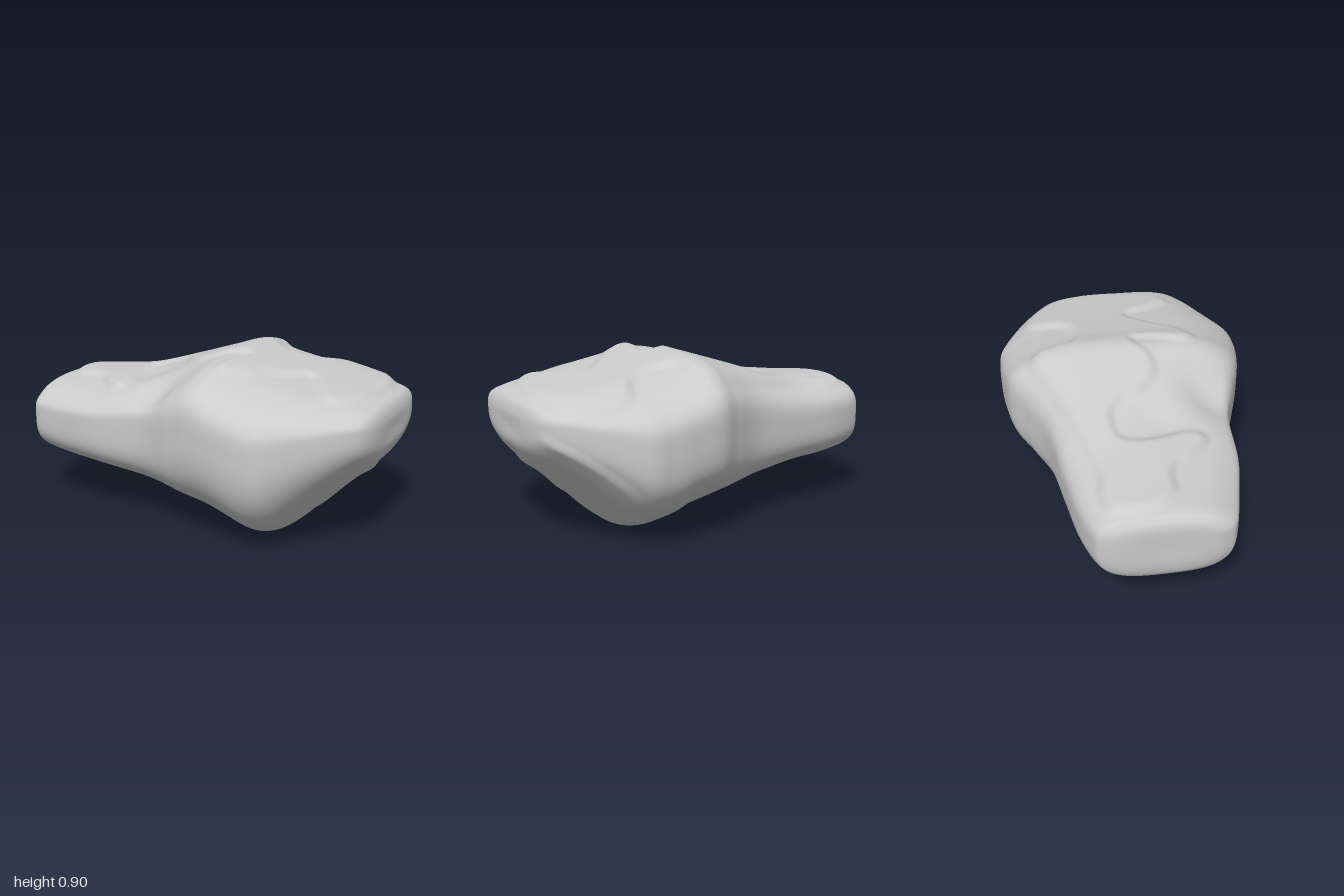
import * as THREE from 'three';

// Sections along x: [x, top, bottom, front z, back z]
const sections = [
  [-1.0, 0.47, 0.47, 0.03, 0.03],
  [-1.0, 0.59, 0.36, 0.22, -0.17],
  [-0.98, 0.65, 0.28, 0.32, -0.28],
  [-0.93, 0.675, 0.25, 0.37, -0.33],
  [-0.75, 0.69, 0.23, 0.42, -0.385],
  [-0.5, 0.72, 0.215, 0.475, -0.425],
  [-0.2, 0.805, 0.17, 0.49, -0.475],
  [0.0, 0.865, 0.12, 0.56, -0.565],
  [0.14, 0.9, 0.08, 0.61, -0.645],
  [0.3, 0.865, 0.025, 0.65, -0.67],
  [0.45, 0.835, 0.0, 0.67, -0.68],
  [0.57, 0.815, 0.06, 0.655, -0.67],
  [0.75, 0.785, 0.24, 0.55, -0.57],
  [0.9, 0.76, 0.38, 0.45, -0.45],
  [0.97, 0.73, 0.45, 0.37, -0.36],
  [1.0, 0.66, 0.51, 0.24, -0.22],
  [1.0, 0.585, 0.585, 0.0, 0.0],
];

// Raised plate seen from above (x, z)
const topPlate = [
  [-0.9, -0.18], [-0.8, -0.25], [-0.6, -0.25], [-0.2, -0.37], [0.15, -0.5], [0.22, -0.29], [0.46, -0.28],
  [0.64, -0.5], [0.85, -0.35], [0.91, 0.0], [0.8, 0.29], [0.69, 0.18], [0.58, 0.03],
  [0.42, 0.15], [0.3, 0.3], [0.18, 0.32], [0.23, 0.08], [0.17, 0.01], [0.0, 0.1],
  [-0.15, 0.02], [-0.2, -0.1], [-0.32, -0.17], [-0.48, -0.08], [-0.44, 0.26], [-0.55, 0.22], [-0.66, 0.09], [-0.86, 0.04],
];
// Plates on the left end (z, y)
const endPlate = [
  [-0.1, 0.68], [-0.35, 0.58], [-0.53, 0.42], [-0.55, 0.25], [-0.42, 0.2],
  [-0.2, 0.3], [0.02, 0.34], [0.06, 0.4], [-0.05, 0.48],
];
const endKnob = [
  [0.1, 0.66], [0.2, 0.55], [0.22, 0.4], [0.22, 0.2], [0.1, 0.18], [0.02, 0.27], [0.08, 0.42], [0.08, 0.55],
];
// Plate on the underside (x, z)
const underPlate = [
  [-0.75, -0.1], [-0.4, -0.25], [0.0, -0.2], [0.3, -0.38], [0.4, -0.1], [0.2, 0.12], [-0.1, 0.08], [-0.4, 0.25], [-0.7, 0.2],
];

const smooth = THREE.MathUtils.smoothstep;

// Height of a plate with a soft step at its rounded outline
function plate(points, step) {
  const outline = new THREE.CatmullRomCurve3(
    points.map(([a, b]) => new THREE.Vector3(a, b, 0)), true, 'catmullrom', 0.7).getPoints(points.length * 5);
  return (a, b) => {
    let inside = false, near = 1;
    for (let i = 1; i < outline.length; i++) {
      const p = outline[i - 1], q = outline[i];
      if ((p.y > b) !== (q.y > b) && a < p.x + (q.x - p.x) * (b - p.y) / (q.y - p.y)) inside = !inside;
      const ex = q.x - p.x, ey = q.y - p.y;
      const t = THREE.MathUtils.clamp(((a - p.x) * ex + (b - p.y) * ey) / (ex * ex + ey * ey + 1e-9), 0, 1);
      near = Math.min(near, Math.hypot(a - p.x - ex * t, b - p.y - ey * t));
    }
    return step * smooth(inside ? near : -near, -0.045, 0.015);
  };
}

const hollow = (x, z, cx, cz, r, depth) => depth * Math.exp(-((x - cx) ** 2 + (z - cz) ** 2) / (r * r));

function rockGeometry(rows, cols) {
  const heights = new THREE.CatmullRomCurve3(
    sections.map(([x, t, b]) => new THREE.Vector3(x, t, b)), false, 'catmullrom', 0.5);
  const widths = new THREE.CatmullRomCurve3(
    sections.map(([x, , , f, k]) => new THREE.Vector3(x, f, k)), false, 'catmullrom', 0.5);
  const top = plate(topPlate, 0.024), end = plate(endPlate, 0.02);
  const knob = plate(endKnob, 0.02), under = plate(underPlate, 0.014);
  const position = [], index = [];

  for (let i = 0; i <= rows; i++) {
    const h = heights.getPoint(i / rows), w = widths.getPoint(i / rows);
    const hz = (w.y - w.z) / 2, big = smooth(h.x, -0.2, 0.3);
    // Widest line lies above the middle
    const waist = THREE.MathUtils.lerp(h.z, h.y, 0.52 + 0.08 * big);
    for (let j = 0; j < cols; j++) {
      const a = j / cols * Math.PI * 2, c = Math.cos(a), s = Math.sin(a);
      // Boxy section, rounder underneath
      const n = s > 0 ? 3.4 : 3.1 - 0.65 * big;
      const r = (Math.abs(c) ** n + Math.abs(s) ** n) ** (-1 / n);
      let x = h.x, y = waist + (s > 0 ? h.y - waist : waist - h.z) * r * s;
      const z = (w.y + w.z) / 2 + hz * r * c;
      const cap = smooth(h.y - h.z, 0.1, 0.4);
      const up = smooth(s, 0.2, 0.75) * cap, down = smooth(-s, 0.2, 0.7) * cap;
      // Top: plate, front slope of the narrow half, gullies
      if (up > 0) {
        y += up * (top(x, z) - 0.02
          - 0.03 * smooth(z, 0, 0.42) * smooth(-x, 0, 0.25)
          - 0.02 * smooth(Math.abs(z), 0.3, 0.65) * big
          - hollow(x, z, -0.12, 0.38, 0.15, 0.06)
          - hollow(x, z, -0.33, 0.08, 0.14, 0.025));
      }
      // Underside: plate, large end tilted up towards the back
      if (down > 0) {
        y += down * ((0.008 - under(x, z)) * smooth(0.45 - x, 0, 0.2) + 0.04 * big * smooth(-z, 0.05, 0.5));
      }
      // Left end: plates fading out towards the tip
      if (x > 0.4) x += (end(z, y) + knob(z, y) - 0.01) * smooth(x, 0.45, 0.7) * smooth(1 - x, 0, 0.1);
      position.push(x, Math.max(y, 0), z);
      if (i < rows) {
        const k = (j + 1) % cols, p = i * cols, q = p + cols;
        index.push(p + j, q + j, p + k, p + k, q + j, q + k);
      }
    }
  }
  const geometry = new THREE.BufferGeometry();
  geometry.setAttribute('position', new THREE.Float32BufferAttribute(position, 3));
  geometry.setIndex(index);
  geometry.computeVertexNormals();
  return geometry;
}

export function createModel() {
  const group = new THREE.Group();
  group.name = 'boulder';
  const rock = new THREE.Mesh(rockGeometry(240, 200), new THREE.MeshStandardMaterial({ color: 0xcccccc }));
  rock.name = 'rock';
  group.add(rock);
  return group;
}
